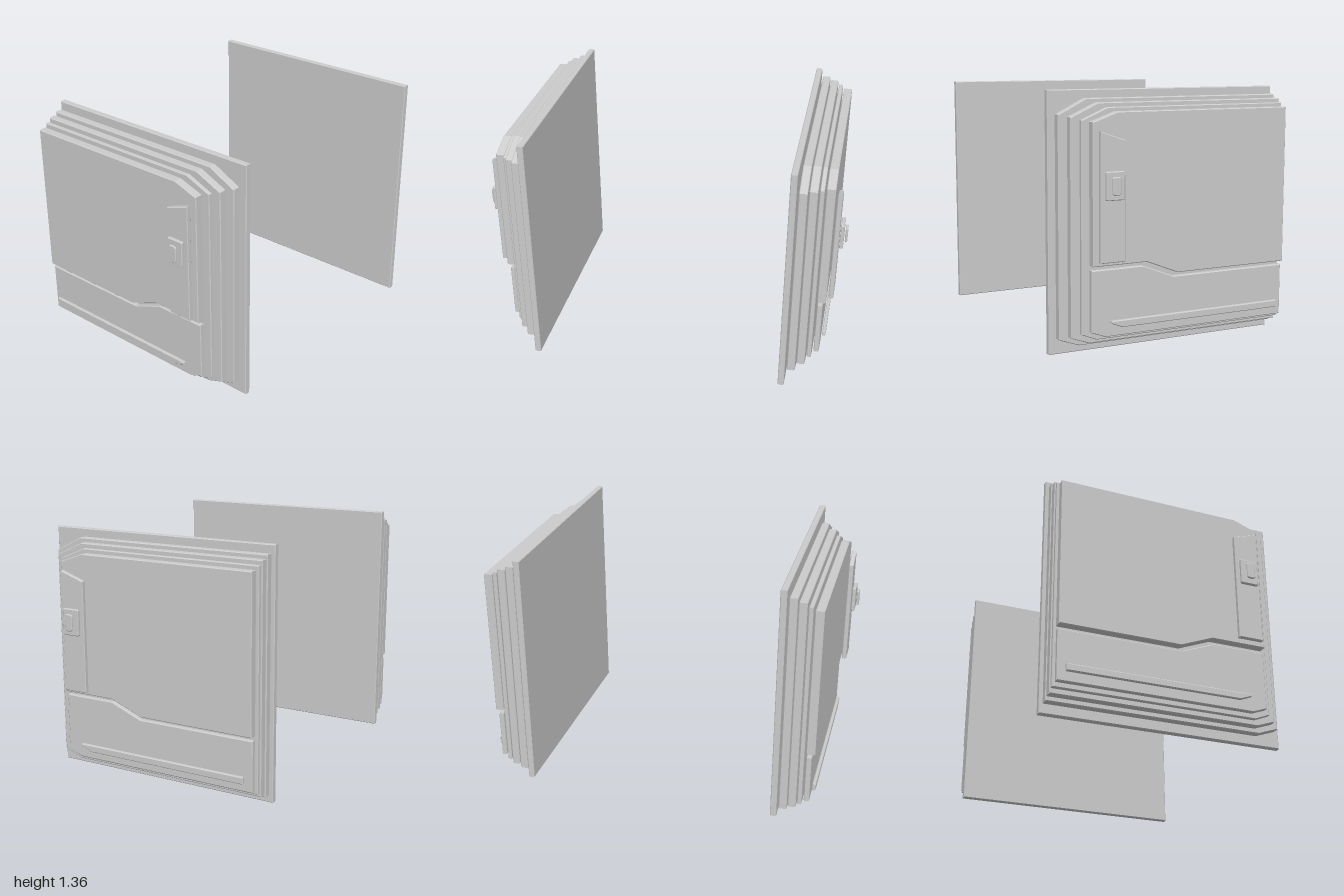
import * as THREE from 'three';

const BEVEL = 0.004;

// Rectangle with small cut corners, as [z, y] points
function cutRect(z0, z1, y0, y1, c) {
  return [[z1, y0 + c], [z1, y1 - c], [z1 - c, y1], [z0 + c, y1],
    [z0, y1 - c], [z0, y0 + c], [z0 + c, y0], [z1 - c, y0]];
}

// Stepped layer with a cut upper and lower front corner
function layer(back, front, topZ, topCut, top, bottomZ, bottomCut, bottom) {
  return [[front, topCut], [topZ, top], [back, top], [back, bottom], [bottomZ, bottom], [front, bottomCut]];
}

// Each part: name, inner x, outer x, outline in [z, y]
const PARTS = [
  ['backPlate', 0.698, 0.733, [[0.67, 0], [0.67, 1.355], [-0.67, 1.355], [-0.67, 0]]],
  ['innerLayer', 0.742, 0.786, layer(-0.655, 0.635, 0.48, 1.234, 1.312, 0.523, 0.087, 0.047)],
  ['middleLayer', 0.791, 0.835, layer(-0.653, 0.59, 0.437, 1.223, 1.292, 0.49, 0.103, 0.067)],
  ['outerLayer', 0.841, 0.865, layer(-0.65, 0.545, 0.4, 1.209, 1.27, 0.462, 0.124, 0.09)],
  ['upperPanel', 0.873, 0.921, [[0.508, 1.202], [0.372, 1.25], [-0.64, 1.25], [-0.64, 0.409],
    [0.023, 0.409], [0.203, 0.481], [0.508, 0.481]]],
  ['lowerPanel', 0.875, 0.904, [[0.508, 0.458], [0.214, 0.458], [0.034, 0.387], [-0.64, 0.387],
    [-0.64, 0.11], [0.43, 0.11], [0.508, 0.139]]],
  ['lowerRail', 0.911, 0.931, [[0.408, 0.196], [-0.599, 0.196], [-0.599, 0.158], [0.345, 0.158], [0.408, 0.182]]],
  ['latchPlate', 0.931, 0.957, [[0.482, 1.158], [0.345, 1.112], [0.345, 0.502], [0.482, 0.502]]],
  ['latchHousing', 0.961, 0.981, cutRect(0.363, 0.462, 0.818, 0.962, 0.005)],
  ['latchButton', 0.987, 1.0, cutRect(0.39, 0.437, 0.845, 0.937, 0.008)],
];

// Extrudes a [z, y] outline along x between x0 and x1 with a fine bevel
function slab(outline, x0, x1) {
  const shape = new THREE.Shape(outline.map(([z, y]) => new THREE.Vector2(-z, y)));
  const geometry = new THREE.ExtrudeGeometry(shape, {
    depth: x1 - x0 - 2 * BEVEL, bevelEnabled: true, bevelThickness: BEVEL,
    bevelSize: BEVEL, bevelOffset: -BEVEL, bevelSegments: 1,
  });
  geometry.translate(0, 0, x0 + BEVEL);
  geometry.rotateY(Math.PI / 2);
  return geometry;
}

export function createModel() {
  const model = new THREE.Group();
  model.name = 'slidingDoors';
  const grey = new THREE.MeshStandardMaterial({ color: 0xcccccc, flatShading: true });
  grey.name = 'light grey';

  // Mirrored pair of doors
  for (const side of [1, -1]) {
    const door = new THREE.Group();
    door.name = side > 0 ? 'leftDoor' : 'rightDoor';
    for (const [name, inner, outer, outline] of PARTS) {
      const [x0, x1] = side > 0 ? [inner, outer] : [-outer, -inner];
      const mesh = new THREE.Mesh(slab(outline, x0, x1), grey);
      mesh.name = name;
      door.add(mesh);
    }
    model.add(door);
  }
  return model;
}
